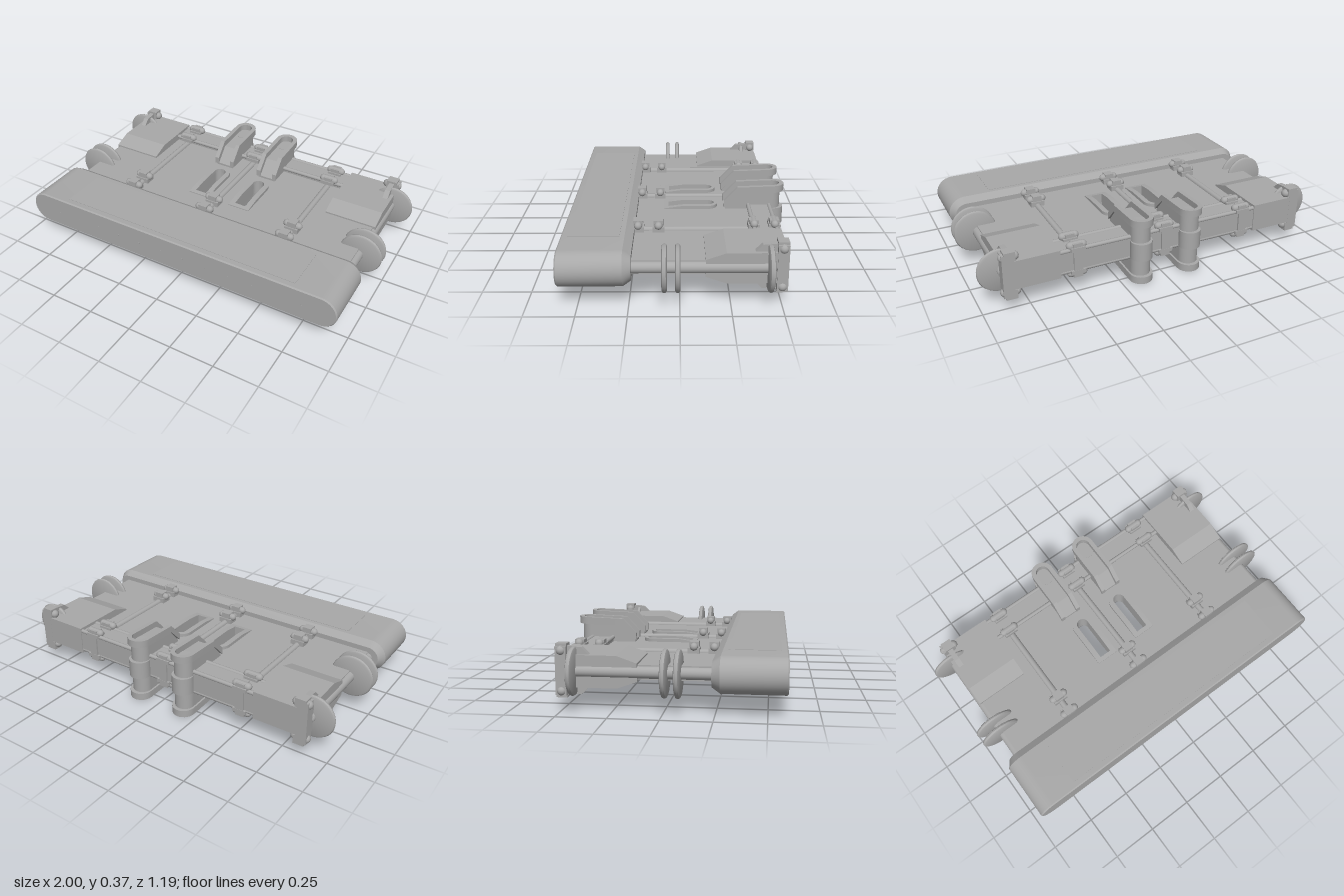
import * as THREE from 'three';
import { toCreasedNormals } from 'three/addons/utils/BufferGeometryUtils.js';

const grey = new THREE.MeshStandardMaterial({ color: 0xa8a8a8 });
grey.name = 'plain grey';

const MID = 0.2; // height of the horizontal symmetry plane

function add(parent, name, geometry, x = 0, y = 0, z = 0) {
  const mesh = new THREE.Mesh(geometry, grey);
  mesh.name = name;
  mesh.position.set(x, y, z);
  parent.add(mesh);
  return mesh;
}

// Skin a list of equal-length rings of [x, y, z]; closed loops back, otherwise the ends are capped
function loft(rings, closed = false) {
  const n = rings[0].length, pos = rings.flat(2), idx = [];
  const count = closed ? rings.length : rings.length - 1;
  for (let r = 0; r < count; r++) {
    const a = r * n, b = ((r + 1) % rings.length) * n;
    for (let i = 0; i < n; i++) {
      const j = (i + 1) % n;
      idx.push(a + i, a + j, b + j, a + i, b + j, b + i);
    }
  }
  if (!closed) {
    const e = (rings.length - 1) * n;
    for (let i = 1; i < n - 1; i++) idx.push(0, i + 1, i, e, e + i, e + i + 1);
  }
  // turn the surface outward if its signed volume is negative
  const p = (k) => new THREE.Vector3().fromArray(pos, k * 3);
  let volume = 0;
  for (let i = 0; i < idx.length; i += 3) volume += p(idx[i]).dot(p(idx[i + 1]).cross(p(idx[i + 2])));
  if (volume < 0) idx.reverse();
  const g = new THREE.BufferGeometry();
  g.setAttribute('position', new THREE.Float32BufferAttribute(pos, 3));
  g.setIndex(idx);
  return toCreasedNormals(g, 0.5);
}

// Extrude a [z, y] side profile across x, centred on x = 0
function sideExtrude(points, width) {
  const shape = new THREE.Shape(points.map(([z, y]) => new THREE.Vector2(z, y)));
  const g = new THREE.ExtrudeGeometry(shape, { depth: width, bevelEnabled: false });
  return g.rotateY(-Math.PI / 2).translate(width / 2, 0, 0);
}

// Plan outline of a U with a rounded rear end
function uPlan(halfWidth, frontZ, kinkZ, arcZ) {
  const pts = [[halfWidth, frontZ], [halfWidth, kinkZ]];
  for (let i = 0; i <= 14; i++) {
    const t = (i / 14) * Math.PI;
    pts.push([halfWidth * Math.cos(t), arcZ - halfWidth * Math.sin(t)]);
  }
  pts.push([-halfWidth, kinkZ], [-halfWidth, frontZ]);
  return pts;
}

// Wall between two plan outlines, with top and bottom heights given by z
function wall(outer, inner, top, bottom, closed) {
  return loft(outer.map(([x, z], i) => {
    const [u, w] = inner[i];
    return [[x, bottom(z), z], [x, top(z), z], [u, top(w), w], [u, bottom(w), w]];
  }), closed);
}

// Place a part and its upside-down twin; the part is modelled about y = 0
function abovebelow(parent, part, x, y = MID) {
  const twin = part.clone();
  twin.rotation.z = Math.PI;
  for (const p of [part, twin]) {
    p.position.set(x, y, 0);
    parent.add(p);
  }
}

function named(name) {
  const g = new THREE.Group();
  g.name = name;
  return g;
}

// Stadium cross-section of the front bumper
function stadium(z, inset) {
  const r = 0.092 - inset, c = 0.868, ring = [];
  for (let i = 0; i <= 32; i++) {
    const t = (i % 33) / 32 * Math.PI * 2 - Math.PI / 2;
    if (i === 16) ring.push([c, MID + r, z], [-c, MID + r, z]);
    else ring.push([(i < 16 ? c : -c) + r * Math.cos(t), MID + r * Math.sin(t), z]);
  }
  return ring;
}

function buildClaw() {
  const claw = named('claw');
  const top = (z) => (z > -0.33 ? 0.097 + ((-0.255 - z) / 0.075) * 0.08 : 0.177 + ((-0.33 - z) / 0.265) * 0.01);
  add(claw, 'clawRim', wall(uPlan(0.065, -0.255, -0.33, -0.53), uPlan(0.04, -0.255, -0.33, -0.53),
    top, (z) => top(z) - 0.04, false));
  add(claw, 'clawBody', sideExtrude([[-0.262, 0], [-0.262, 0.058], [-0.335, 0.143], [-0.52, 0.15], [-0.52, 0]], 0.11));
  add(claw, 'clawEnd', new THREE.CylinderGeometry(0.055, 0.055, 0.15, 28), 0, 0.075, -0.52);
  return claw;
}

function buildClamp(z, base, height) {
  const clamp = named('clamp');
  add(clamp, 'clampBlock', new THREE.BoxGeometry(0.052, height, 0.05), 0, base + height / 2, z);
  add(clamp, 'clampBead', new THREE.CapsuleGeometry(0.021, 0.07, 6, 14).rotateZ(Math.PI / 2), 0, base + height * 0.6, z);
  add(clamp, 'clampFoot', new THREE.BoxGeometry(0.08, height * 0.5, 0.062), 0, base + height * 0.25, z);
  return clamp;
}

export function createModel() {
  const model = named('carrierFrame');

  // Front bumper with top and bottom panels and a row of rivets
  add(model, 'bumper', loft([stadium(0.595, 0.006), stadium(0.588, 0), stadium(0.275, 0), stadium(0.235, 0.028)]));
  for (const s of [-1, 1]) {
    add(model, 'bumperPanel', new THREE.BoxGeometry(1.43, 0.004, 0.26), 0, MID + s * 0.092, 0.43);
  }
  for (let i = 0; i < 12; i++) {
    add(model, 'rivet', new THREE.CylinderGeometry(0.004, 0.004, 0.003, 8).rotateX(Math.PI / 2), -0.77 + i * 0.14, MID, 0.595);
  }

  // Deck plate with two slots
  const slots = [-0.136, 0.131];
  const deck = new THREE.Shape([[-0.87, -0.25], [0.87, -0.25], [0.87, 0.42], [-0.87, 0.42]]
    .map(([x, y]) => new THREE.Vector2(x, y)));
  for (const sx of slots) {
    deck.holes.push(new THREE.Path(uPlan(0.034, 0.06, -0.02, -0.165).map(([x, z]) => new THREE.Vector2(x + sx, -z))));
  }
  add(model, 'deck', new THREE.ExtrudeGeometry(deck, { depth: 0.072, bevelEnabled: false }).rotateX(-Math.PI / 2), 0, MID - 0.036, 0);

  // Raised collars around the slots
  for (const sx of slots) {
    const collar = named('slotCollar');
    add(collar, 'slotCollarRim', wall(uPlan(0.065, 0.085, -0.01, -0.155), uPlan(0.034, 0.06, -0.02, -0.165),
      (z) => (z > -0.01 ? 0.054 - (z + 0.01) * 0.14 : 0.054), () => 0.03, true));
    abovebelow(model, collar, sx);
  }

  // Rear beam
  add(model, 'rearBeam', new THREE.BoxGeometry(1.7, 0.126, 0.13), 0, MID, -0.455);
  for (const z of [-0.392, -0.51]) {
    add(model, 'beamRod', new THREE.CylinderGeometry(0.012, 0.012, 1.2, 12).rotateZ(Math.PI / 2), 0, MID + 0.06, z);
    add(model, 'beamRod', new THREE.CylinderGeometry(0.012, 0.012, 1.2, 12).rotateZ(Math.PI / 2), 0, MID - 0.06, z);
  }

  // Tie rods with clamps on both faces of the deck
  for (const x of [-0.505, -0.016, 0.49]) {
    const tie = named('tieRod');
    add(tie, 'rod', new THREE.CylinderGeometry(0.018, 0.018, 0.62, 14).rotateX(Math.PI / 2), 0, 0.036, -0.085);
    for (const z of [0.11, 0.217]) tie.add(buildClamp(z, 0.034, 0.062));
    for (const z of [-0.392, -0.5]) tie.add(buildClamp(z, 0.055, 0.042));
    add(tie, 'rearStrap', new THREE.BoxGeometry(0.05, 0.07, 0.016), 0, 0.035, -0.522);
    abovebelow(model, tie, x);
  }

  // Claws gripping the rear beam above and below, with a hub between
  for (const x of [-0.157, 0.136]) {
    abovebelow(model, buildClaw(), x, 0.19);
    add(model, 'clawHub', new THREE.CylinderGeometry(0.06, 0.06, 0.1, 28), x, 0.19, -0.535);
  }

  // Rounded disc profile, turned about the z axis
  const discPoints = [[0, -0.013], [0.107, -0.013], [0.116, -0.009], [0.12, 0], [0.116, 0.009], [0.107, 0.013], [0, 0.013]]
    .map(([r, y]) => new THREE.Vector2(r, y));
  const disc = toCreasedNormals(new THREE.LatheGeometry(discPoints, 40).rotateX(Math.PI / 2), 0.7);

  // Left and right ends
  const block = sideExtrude([[-0.125, 0.155], [-0.225, 0.12], [-0.525, 0.12], [-0.525, 0.28], [-0.225, 0.28], [-0.125, 0.245]], 0.3);
  for (const s of [-1, 1]) {
    add(model, 'cornerBlock', block, s * 0.735, 0, 0);
    add(model, 'sideAxle', new THREE.CylinderGeometry(0.03, 0.03, 0.7, 20).rotateX(Math.PI / 2), s * 0.868, MID, -0.11);
    add(model, 'axleTip', new THREE.ConeGeometry(0.03, 0.025, 20).rotateX(-Math.PI / 2), s * 0.868, MID, -0.472);
    for (const z of [0.075, 0.01, -0.437]) add(model, 'disc', disc, s * 0.88, MID, z);

    // Corner bracket holding the rear disc
    add(model, 'cornerBracket', new THREE.BoxGeometry(0.06, 0.24, 0.055), s * 0.86, MID, -0.498);
    add(model, 'bracketPlate', sideExtrude([[-0.365, 0.12], [-0.4, 0.085], [-0.52, 0.075],
      [-0.52, 0.325], [-0.4, 0.315], [-0.365, 0.28]], 0.03), s * 0.85, 0, 0);
    const cap = named('bracketCap');
    add(cap, 'capBlock', new THREE.BoxGeometry(0.06, 0.05, 0.055), 0, 0.108, -0.498);
    add(cap, 'capBead', new THREE.CapsuleGeometry(0.024, 0.06, 6, 14).rotateZ(Math.PI / 2), 0, 0.1, -0.498);
    abovebelow(model, cap, s * 0.848);
  }
  return model;
}
